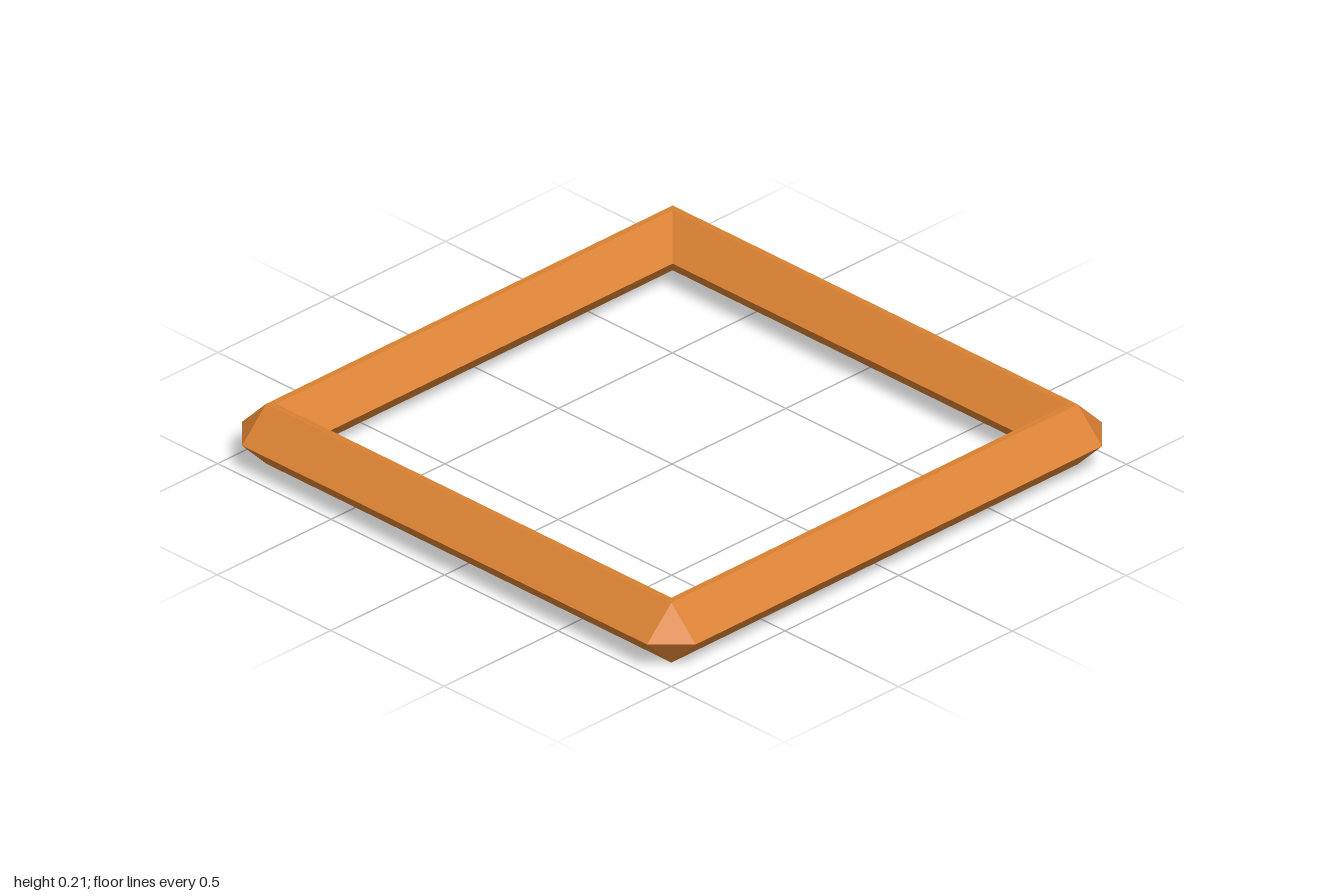
import * as THREE from 'three';

// Eight points of one ring: each corner is the pair (a, b), (b, a), turned by quarter steps.
// When a equals b the corner is a sharp mitre.
function ring([a, b, y]) {
  const points = [];
  for (let k = 0; k < 4; k++) {
    for (let [x, z] of [[a, b], [b, a]]) {
      for (let n = 0; n < k; n++) [x, z] = [-z, x];
      points.push(new THREE.Vector3(x, y, z));
    }
  }
  return points;
}

// Joins consecutive rings with faces, closing the section and leaving out collapsed triangles.
function loftRings(rings) {
  const positions = [];
  const addTriangle = (...corners) => {
    if (new THREE.Triangle(...corners).getArea() < 1e-6) return;
    for (const p of corners) positions.push(p.x, p.y, p.z);
  };
  rings.forEach((lower, j) => {
    const upper = rings[(j + 1) % rings.length];
    for (let i = 0; i < lower.length; i++) {
      const n = (i + 1) % lower.length;
      addTriangle(lower[i], upper[i], upper[n]);
      addTriangle(lower[i], upper[n], lower[n]);
    }
  });
  const geometry = new THREE.BufferGeometry();
  geometry.setAttribute('position', new THREE.Float32BufferAttribute(positions, 3));
  geometry.computeVertexNormals();
  return geometry;
}

export function createModel() {
  const height = 0.214;
  const middle = height / 2;
  const outer = 0.893;
  const inner = 0.871;
  const opening = 0.766;

  // Diamond section with narrow flats on top and bottom; the outer edge is cut off at the corners
  const section = [
    [1, outer, middle],
    [outer, outer, height],
    [inner, inner, height],
    [opening, opening, middle],
    [inner, inner, 0],
    [outer, outer, 0],
  ];

  const material = new THREE.MeshStandardMaterial({ color: 0xd98032, flatShading: true });
  const frame = new THREE.Mesh(loftRings(section.map(ring)), material);
  frame.name = 'squareFrame';

  const model = new THREE.Group();
  model.name = 'bevelledFrame';
  model.add(frame);
  return model;
}
